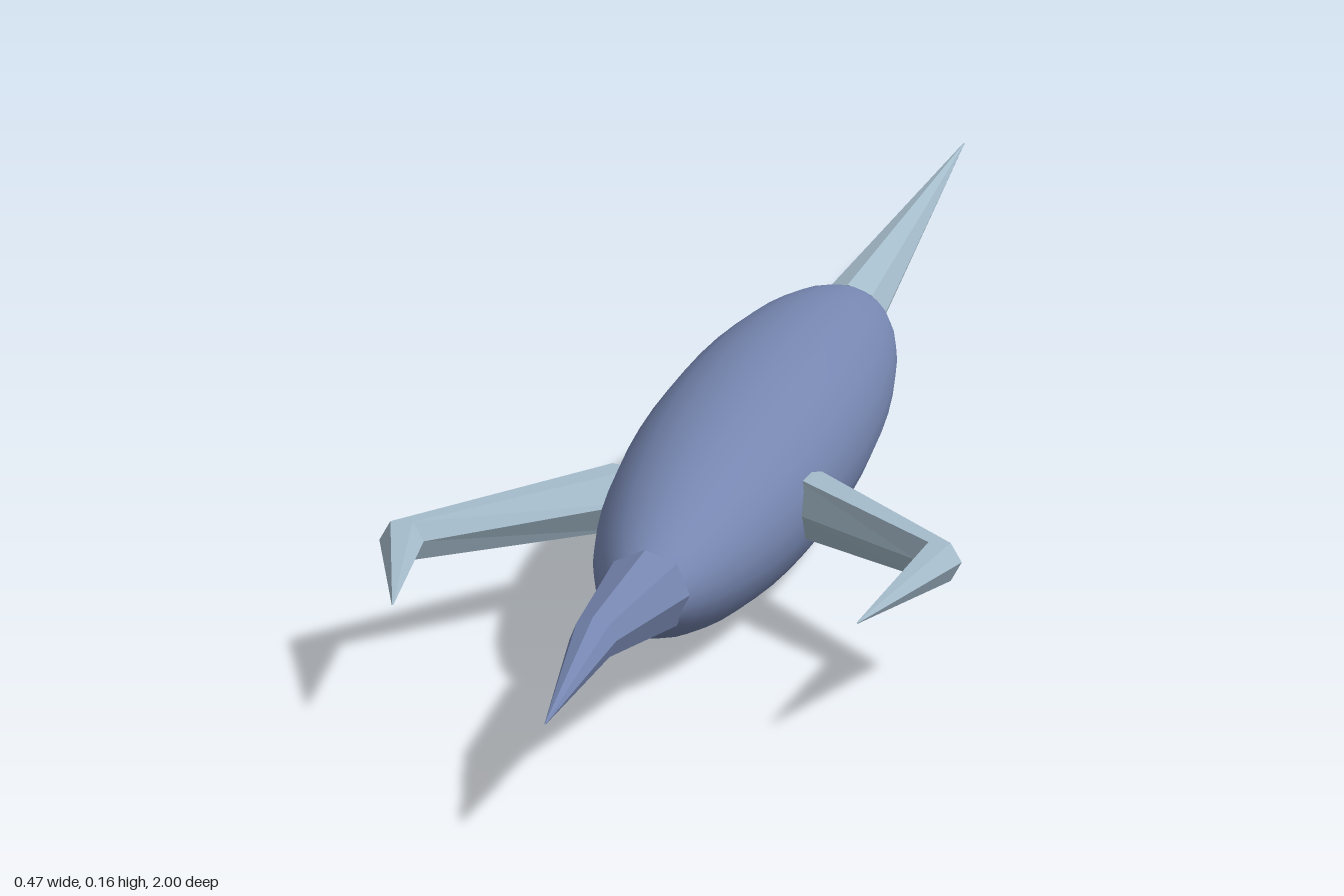
import * as THREE from 'three';

// Closed, tapering tube through rings: { c: centre, n: axis, r: radius }.
// Corner 0 of each ring lies on the horizontal, so every limb keeps its facets aligned.
function loft(rings, sides) {
  const points = [];
  const up = new THREE.Vector3(0, 1, 0);
  for (const { c, n, r } of rings) {
    const axis = new THREE.Vector3(...n).normalize();
    const u = new THREE.Vector3().crossVectors(up, axis).normalize();
    const v = new THREE.Vector3().crossVectors(axis, u);
    for (let i = 0; i < sides; i++) {
      const a = (i / sides) * Math.PI * 2;
      const p = new THREE.Vector3(...c)
        .addScaledVector(u, Math.cos(a) * r)
        .addScaledVector(v, Math.sin(a) * r);
      points.push(p.x, p.y, p.z);
    }
  }
  const index = [];
  for (let k = 0; k < rings.length - 1; k++) {
    for (let i = 0; i < sides; i++) {
      const j = (i + 1) % sides;
      const a = k * sides + i, b = k * sides + j;
      index.push(a, b, b + sides, a, b + sides, a + sides);
    }
  }
  // Cap over the root ring
  for (let i = 1; i < sides - 1; i++) index.push(0, i + 1, i);
  const geometry = new THREE.BufferGeometry();
  geometry.setAttribute('position', new THREE.Float32BufferAttribute(points, 3));
  geometry.setIndex(index);
  const faceted = geometry.toNonIndexed();
  faceted.computeVertexNormals();
  return faceted;
}

export function createModel() {
  const model = new THREE.Group();
  const slateBlue = new THREE.MeshStandardMaterial({ color: 0x7686b0 });
  slateBlue.name = 'slateBlue';
  const paleBlue = new THREE.MeshStandardMaterial({ color: 0xa5bccb });
  paleBlue.name = 'paleBlue';

  const add = (name, geometry, material) => {
    const mesh = new THREE.Mesh(geometry, material);
    mesh.name = name;
    model.add(mesh);
    return mesh;
  };

  // Long smooth body with its poles at the nose and tail
  const bodyGeometry = new THREE.SphereGeometry(1, 24, 24);
  bodyGeometry.rotateX(Math.PI / 2);
  bodyGeometry.scale(0.086, 0.081, 0.52);
  const body = add('body', bodyGeometry, slateBlue);
  body.position.set(0, 0.082, 0.045);

  // Bent, pointed head
  add('head', loft([
    { c: [0, 0.084, 0.52], n: [0, 0, 1], r: 0.036 },
    { c: [0, 0.104, 0.77], n: [0, 0, 1], r: 0.019 },
    { c: [0, 0.088, 1], n: [0, 0, 1], r: 0.0005 },
  ], 8), slateBlue);

  // Needle tail
  add('tail', loft([
    { c: [0, 0.085, -0.445], n: [0, 0, -1], r: 0.028 },
    { c: [0, 0.1, -1], n: [0, 0, -1], r: 0.0005 },
  ], 8), paleBlue);

  // Forward-bent arms, one on each side
  for (const [name, s] of [['leftArm', 1], ['rightArm', -1]]) {
    add(name, loft([
      { c: [s * 0.073, 0.084, 0.186], n: [s * 0.14, 0, 0.21], r: 0.028 },
      { c: [s * 0.218, 0.091, 0.4], n: [0, 0, 1], r: 0.018 },
      { c: [s * 0.188, 0.09, 0.62], n: [0, 0, 1], r: 0.0005 },
    ], 6), paleBlue);
  }

  return model;
}
